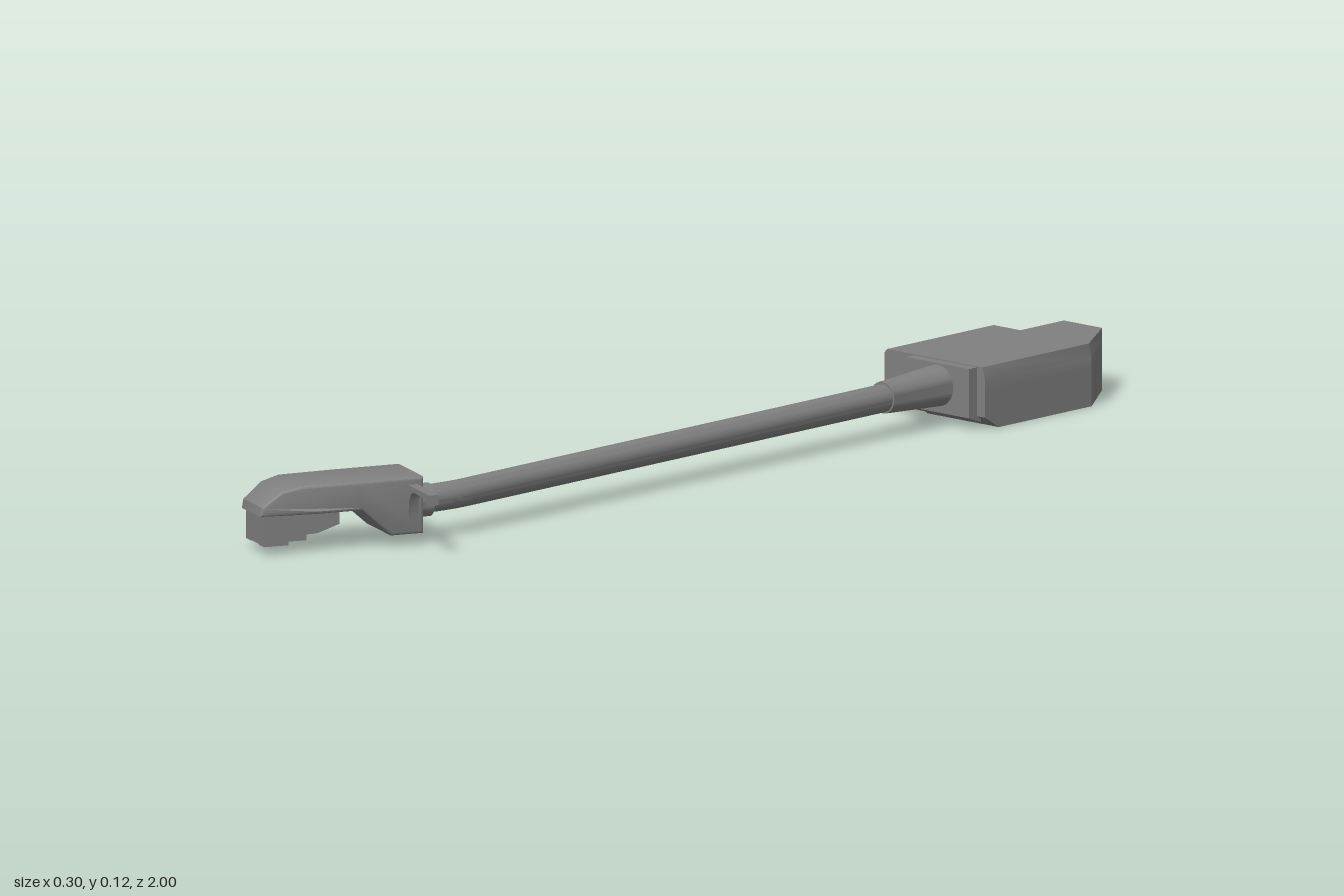
import * as THREE from 'three';
import { toCreasedNormals } from 'three/addons/utils/BufferGeometryUtils.js';
import { ConvexGeometry } from 'three/addons/geometries/ConvexGeometry.js';

const material = new THREE.MeshStandardMaterial({ color: 0x808080 });

function add(parent, name, geometry, crease = 0.6) {
  const mesh = new THREE.Mesh(toCreasedNormals(geometry, crease), material);
  mesh.name = name;
  parent.add(mesh);
  return mesh;
}

const outline = (points) => new THREE.Shape(points.map(([x, y]) => new THREE.Vector2(x, y)));

// Side profile given as (z, y), swept across x and centred
function sideProfile(points, width, bevel = 0) {
  return new THREE.ExtrudeGeometry(outline(points), {
    depth: width - 2 * bevel, bevelEnabled: bevel > 0, bevelSize: bevel,
    bevelThickness: bevel, bevelOffset: -bevel, bevelSegments: 3, steps: 1,
  }).translate(0, 0, bevel - width / 2).rotateY(-Math.PI / 2);
}

function box(parent, name, x0, x1, y0, y1, z0, z1) {
  const g = new THREE.BoxGeometry(x1 - x0, y1 - y0, z1 - z0);
  g.translate((x0 + x1) / 2, (y0 + y1) / 2, (z0 + z1) / 2);
  return add(parent, name, g);
}

const convex = (points) => new ConvexGeometry(points.map((p) => new THREE.Vector3(...p)));

function makePivotHousing() {
  const group = new THREE.Group();
  group.name = 'pivotHousing';

  // Main body from its plan, with the lower front edge cut back
  const plan = outline([[-0.035, 0.62], [0.132, 0.62], [0.132, 0.89], [0.055, 1], [-0.035, 1]]);
  const body = new THREE.ExtrudeGeometry(plan, { depth: 0.11, steps: 5, bevelEnabled: false });
  body.rotateX(-Math.PI / 2);
  const p = body.attributes.position;
  for (let i = 0; i < p.count; i++) {
    if (p.getY(i) < 0.01 && p.getZ(i) > -0.65) p.setZ(i, -0.655);
    if (p.getY(i) > 0.1 && p.getX(i) > 0.12) p.setX(i, 0.126);
  }
  add(group, 'housingBody', body);

  // Side wing, raised off the bottom
  const wing = [];
  for (const z of [-0.89, -0.62]) {
    wing.push([-0.035, 0.018, z], [-0.035, 0.11, z], [-0.098, 0.11, z], [-0.105, 0.103, z], [-0.105, 0.03, z]);
  }
  add(group, 'housingWing', convex(wing));

  // Sloping fillet behind the wing
  add(group, 'wingFillet', convex([
    [-0.035, 0.018, -0.89], [-0.035, 0.108, -0.89], [-0.09, 0.028, -0.89],
    [-0.035, 0.018, -1], [-0.035, 0.108, -1],
  ]), 1.2);

  // Front plate
  add(group, 'frontPlate', sideProfile(
    [[-0.63, 0.01], [-0.6, 0.021], [-0.6, 0.108], [-0.63, 0.108]], 0.148).translate(0.039, 0, 0));
  return group;
}

function makeHead() {
  const head = new THREE.Group();
  head.name = 'head';
  head.position.set(0.012, 0, 0.708);
  head.rotation.y = -0.436;

  // Arched shell, narrowing towards its nose
  const shell = sideProfile([
    [0, 0.02], [0.06, 0.02], [0.115, 0.069], [0.2, 0.069],
    [0.298, 0.069], [0.295, 0.085], [0.26, 0.112], [0.225, 0.12], [0.12, 0.12], [0, 0.12],
  ], 0.12, 0.005);
  const p = shell.attributes.position;
  for (let i = 0; i < p.count; i++) {
    const nose = THREE.MathUtils.clamp((p.getZ(i) - 0.195) / 0.103, 0, 1);
    p.setX(i, p.getX(i) * (1 - 0.26 * nose));
  }
  add(head, 'headShell', shell);

  // Cartridge with stylus
  add(head, 'cartridge', sideProfile([
    [0.15, 0.072], [0.15, 0.045], [0.19, 0.032], [0.235, 0.03], [0.235, 0.024],
    [0.29, 0.024], [0.29, 0.072],
  ], 0.082));
  for (const s of [-1, 1]) {
    box(head, 'cartridgeCheek', s * 0.029 - 0.012, s * 0.029 + 0.012, 0.015, 0.06, 0.245, 0.29);
  }
  box(head, 'stylusHolder', -0.014, 0.014, 0.015, 0.026, 0.2, 0.288);
  add(head, 'stylusTip', new THREE.ConeGeometry(0.003, 0.012, 8).rotateX(Math.PI).translate(0, 0.01, 0.26));

  // Finger lift: a bracket plate, a bar and a turned-down tip
  const lift = outline([[0.05, 0.045], [0.062, 0.045], [0.066, 0.08], [0.074, 0.094], [0.085, 0.099],
    [0.146, 0.099], [0.148, 0.09], [0.157, 0.09], [0.157, 0.108], [0.05, 0.108]]);
  add(head, 'fingerLift', new THREE.ExtrudeGeometry(lift, { depth: 0.018, bevelEnabled: false })
    .translate(0, 0, 0.012));

  // Collar joining the arm
  add(head, 'headCollar', new THREE.CylinderGeometry(0.029, 0.029, 0.035, 24)
    .rotateX(Math.PI / 2).translate(0.01, 0.068, -0.012));
  return head;
}

export function createModel() {
  const model = new THREE.Group();
  model.name = 'toneArm';
  model.add(makePivotHousing(), makeHead());

  // Arm tube with a bend at the head
  const path = new THREE.CurvePath();
  const v = (x, z) => new THREE.Vector3(x, 0.068, z);
  path.add(new THREE.LineCurve3(v(0.039, -0.62), v(0.039, 0.6)));
  path.add(new THREE.QuadraticBezierCurve3(v(0.039, 0.6), v(0.039, 0.65), v(0.018, 0.712)));
  add(model, 'armTube', new THREE.TubeGeometry(path, 120, 0.0245, 20, false));

  // Tapered socket between housing and tube
  const socket = new THREE.CylinderGeometry(0.028, 0.037, 0.15, 24).rotateX(Math.PI / 2);
  add(model, 'armSocket', socket).position.set(0.039, 0.069, -0.535);
  return model;
}
